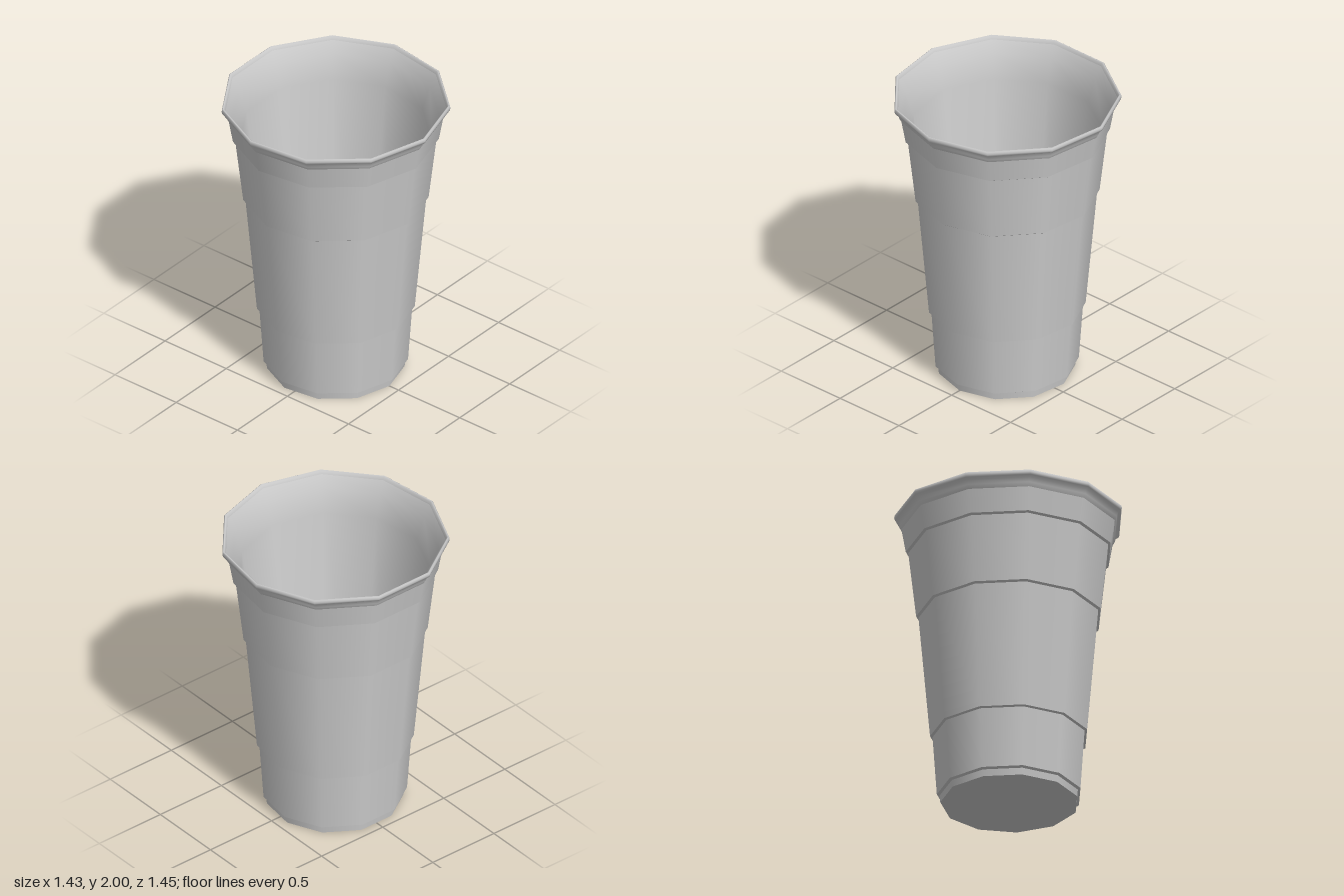
import * as THREE from 'three';

const SIDES = 11;

export function createModel() {
  const cup = new THREE.Group();
  cup.name = 'cup';
  const material = new THREE.MeshStandardMaterial({ color: 0xcccccc });

  // Revolves a [radius, height] profile, smooth along its length, with a corner on +x
  function ring(name, profile, parent = cup) {
    const points = profile.map(([r, y]) => new THREE.Vector2(r, y));
    const geometry = new THREE.LatheGeometry(points, SIDES, Math.PI / 2);
    const mesh = new THREE.Mesh(geometry, material);
    mesh.name = name;
    parent.add(mesh);
  }

  // Underside
  ring('base', [[0, 0], [0.44, 0]]);

  // Stepped outer wall: each band is separate so the steps stay crisp
  const wall = new THREE.Group();
  wall.name = 'outerWall';
  cup.add(wall);
  const outer = [
    [0.44, 0], [0.445, 0.045],
    [0.462, 0.055], [0.489, 0.453],
    [0.505, 0.46], [0.578, 1.285],
    [0.593, 1.295], [0.643, 1.735],
    [0.659, 1.745], [0.686, 1.9],
  ];
  for (let i = 0; i < outer.length - 1; i++) {
    ring(i % 2 ? 'step' : 'band', [outer[i], outer[i + 1]], wall);
  }

  // Flared, rolled lip
  ring('rim', [
    [0.686, 1.9], [0.7, 1.925], [0.708, 1.955], [0.728, 1.965],
    [0.732, 1.98], [0.73, 1.995], [0.723, 2], [0.714, 1.993], [0.708, 1.975],
  ]);

  // Inside wall and floor
  ring('innerWall', [[0.708, 1.975], [0.665, 1.9], [0.613, 1.74], [0.387, 0.05]]);
  ring('floor', [[0.387, 0.05], [0, 0.05]]);

  // Centre the odd-sided outline
  cup.children.forEach((part) => { part.position.x = -0.015; });
  return cup;
}
